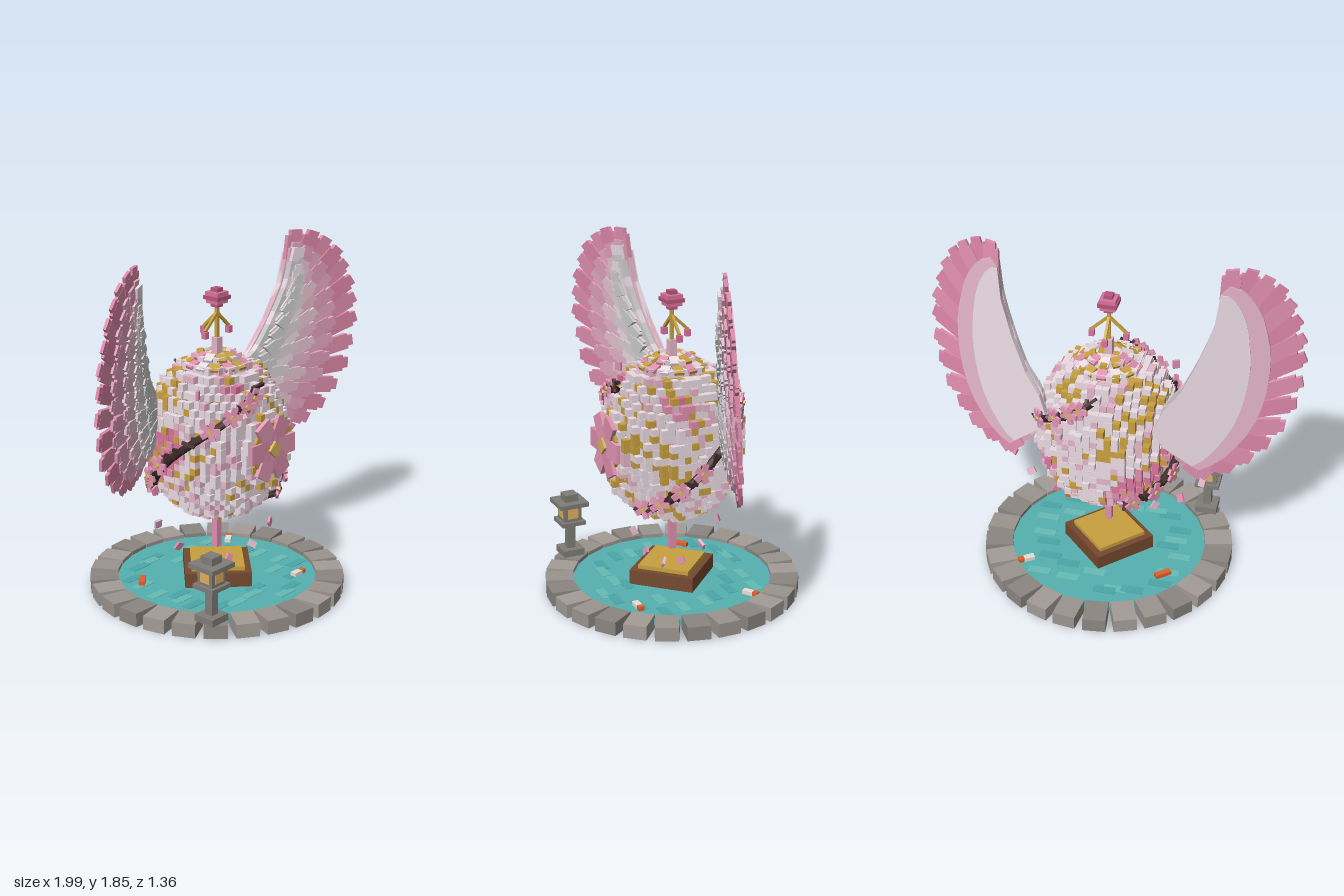
import * as THREE from 'three';
import { mergeGeometries } from 'three/addons/utils/BufferGeometryUtils.js';

const PINK = 0xe08fae, ROSE = 0xd9749b, BLUSH = 0xe3b6c8, PALE = 0xeadbe2, GOLD = 0xc9a040;
const BARK = 0x3b2826, STONES = [0x9a948e, 0x8b8681, 0xa39c96], GREY = 0x807d79;

let seed = 7;
const rnd = () => (seed = (seed * 16807) % 2147483647) / 2147483647;
const V = (x, y, z = 0) => new THREE.Vector3(x, y, z);

// Collects geometry by colour and merges it into one mesh per colour
class Part {
  constructor(name) { this.name = name; this.sets = new Map(); }
  add(color, geo, matrix) {
    const g = geo.index ? geo.toNonIndexed() : geo;
    if (matrix) g.applyMatrix4(matrix);
    if (!this.sets.has(color)) this.sets.set(color, []);
    this.sets.get(color).push(g);
  }
  box(color, size, pos, rot = [0, 0, 0], parent) {
    const m = new THREE.Matrix4().makeRotationFromEuler(new THREE.Euler(...rot)).setPosition(...pos);
    if (parent) m.premultiply(parent);
    this.add(color, new THREE.BoxGeometry(...size), m);
  }
  build() {
    const group = new THREE.Group();
    group.name = this.name;
    for (const [color, list] of this.sets) {
      const mesh = new THREE.Mesh(mergeGeometries(list), new THREE.MeshStandardMaterial({ color }));
      mesh.name = this.name + 'Piece';
      group.add(mesh);
    }
    return group;
  }
}

function pond() {
  const p = new Part('pond');
  p.add(0x55b0b0, new THREE.CylinderGeometry(0.545, 0.545, 0.035, 48), new THREE.Matrix4().makeTranslation(0, 0.037, 0));
  // ripple patches
  for (let i = 0; i < 26; i++) {
    const a = i * 2.4, r = 0.27 + 0.2 * rnd();
    p.box(i % 2 ? 0x66bcb4 : 0x4ba6a8, [0.12, 0.003, 0.05], [r * Math.sin(a), 0.0555, r * Math.cos(a)]);
  }
  // rim stones
  for (let i = 0; i < 26; i++) {
    const a = i / 26 * Math.PI * 2;
    p.box(STONES[i % 3], [0.15, 0.075, 0.122], [0.605 * Math.cos(a), 0.0375, -0.605 * Math.sin(a)], [0, a, 0]);
  }
  // fish
  [[-0.35, -0.22, 0.7, 0xe2602c], [0.4, -0.27, 0.6, 0xe6e0da], [0.29, 0.33, 0, 0xe6e0da]].forEach(([x, z, a, c]) => {
    const m = new THREE.Matrix4().makeRotationY(a).setPosition(x, 0.065, z);
    p.box(c, [0.06, 0.022, 0.034], [-0.015, 0, 0], undefined, m);
    p.box(0xe2602c, [0.03, 0.024, 0.03], [0.028, 0, 0], undefined, m);
  });
  return p.build();
}

function pedestal() {
  const p = new Part('pedestal');
  p.add(0x75492f, new THREE.CylinderGeometry(0.25, 0.25, 0.1, 4).toNonIndexed(), new THREE.Matrix4().makeTranslation(0, 0.083, 0));
  p.add(GOLD, new THREE.CylinderGeometry(0.2, 0.2, 0.022, 4).toNonIndexed(), new THREE.Matrix4().makeTranslation(0, 0.144, 0));
  for (const list of p.sets.values()) list.forEach(g => g.computeVertexNormals());
  return p.build();
}

function lantern() {
  const p = new Part('lantern');
  // [width, bottom, top]
  [[0.12, 0.075, 0.112], [0.045, 0.112, 0.26], [0.135, 0.255, 0.278], [0.165, 0.365, 0.39], [0.075, 0.39, 0.43]]
    .forEach(([w, a, b]) => p.box(GREY, [w, b - a, w], [0, (a + b) / 2, 0]));
  p.box(GREY, [0.1, 0.1, 0.1], [0, 0.322, 0]);
  p.box(0xe0b060, [0.06, 0.06, 0.106], [0, 0.325, 0]);
  p.box(0xe0b060, [0.106, 0.06, 0.06], [0, 0.325, 0]);
  const g = p.build();
  g.position.set(-0.48, 0, 0.395);
  return g;
}

// Egg of small blocks in blotches of colour
const eggRadius = y => 0.366 * Math.sqrt(Math.max(0, 1 - ((y - 0.84) / (y < 0.84 ? 0.43 : 0.46)) ** 2));
function egg() {
  const p = new Part('egg'), c = 0.0365;
  const inside = (i, j, k) => Math.hypot(i * c, k * c) <= eggRadius(0.84 + j * c);
  const near = [[1, 0, 0], [-1, 0, 0], [0, 1, 0], [0, -1, 0], [0, 0, 1], [0, 0, -1]];
  for (let j = -12; j <= 13; j++) for (let i = -11; i <= 11; i++) for (let k = -11; k <= 11; k++) {
    if (!inside(i, j, k) || near.every(n => inside(i + n[0], j + n[1], k + n[2]))) continue;
    const x = i * c, y = 0.84 + j * c, z = k * c;
    const blotch = Math.sin(9 * x + 4 * z + 1) * Math.sin(8 * y + 5 * x) + Math.sin(11 * z - 7 * y + 2) * 0.6;
    const r = rnd();
    let color = r < 0.1 ? GOLD : r < 0.3 ? BLUSH : PALE;
    if (blotch > 0.75 && r > 0.2) color = r > 0.6 ? ROSE : PINK;
    else if (blotch < -0.85 && r < 0.45) color = GOLD;
    const out = 1 + (rnd() < 0.12 ? 0.05 : 0.012 * rnd());
    p.box(color, [c * 0.98, c * 0.98, c * 0.98], [x * out, y, z * out]);
  }
  return p.build();
}

// Five or six flat petals around a gold middle, facing local +z
function blossom(p, matrix, n, reach, width, depth) {
  for (let i = 0; i < n; i++) {
    const a = i / n * Math.PI * 2, mid = reach * 0.6;
    p.box(i % 2 ? PINK : 0xe59ab6, [reach * 0.8, width, depth], [mid * Math.cos(a), mid * Math.sin(a), 0], [0, 0, a], matrix);
  }
  const s = reach * 0.38;
  p.box(0xd9b65c, [s, s, depth * 1.2], [0, 0, depth * 0.5], [0, 0, Math.PI / 4], matrix);
}

function frontFlower() {
  const p = new Part('frontFlower');
  blossom(p, new THREE.Matrix4().makeTranslation(0, 0.86, 0.38), 6, 0.168, 0.1, 0.022);
  for (let i = 0; i < 6; i++) {
    const a = (i + 0.5) / 6 * Math.PI * 2;
    p.box(GOLD, [0.045, 0.035, 0.016], [0.115 * Math.cos(a), 0.86 + 0.115 * Math.sin(a), 0.37], [0, 0, a]);
  }
  return p.build();
}

// Flowering branch climbing half way round the egg
function vine(turn) {
  const p = new Part('vine');
  const curve = new THREE.CatmullRomCurve3([V(0.14, 0.52, 0.24), V(0.27, 0.59, 0.2), V(0.36, 0.69, 0.1),
    V(0.39, 0.81, -0.02), V(0.345, 0.93, -0.16), V(0.22, 1.03, -0.265), V(0.1, 1.1, -0.295), V(0.02, 1.17, -0.285)]);
  p.add(BARK, new THREE.TubeGeometry(curve, 40, 0.022, 6));
  for (let i = 0; i <= 22; i++) {
    const q = curve.getPoint(i / 22), a = Math.atan2(q.x, q.z);
    p.box(i % 3 ? BARK : 0x55383a, [0.016, 0.07, 0.016], [q.x + 0.015 * Math.sin(a), q.y + 0.01, q.z + 0.015 * Math.cos(a)],
      [rnd() * 2 - 1, a, rnd() * 3 - 1.5]);
  }
  [0.04, 0.15, 0.26, 0.38, 0.64, 0.74, 0.83, 0.9].forEach(t => {
    const q = curve.getPoint(t), a = Math.atan2(q.x, q.z);
    const m = new THREE.Matrix4().makeRotationY(a).setPosition(q.x + 0.03 * Math.sin(a), q.y + 0.015, q.z + 0.03 * Math.cos(a));
    blossom(p, m, 5, 0.052, 0.03, 0.014);
  });
  const g = p.build();
  g.rotation.y = turn;
  return g;
}

function finial() {
  const p = new Part('finial');
  p.box(PINK, [0.036, 0.23, 0.036], [0, 0.335, 0]);
  p.box(BLUSH, [0.04, 0.1, 0.04], [0, 1.33, 0]);
  p.box(GOLD, [0.018, 0.19, 0.018], [0, 1.46, 0]);
  // collar of tiles on the crown
  [[0.15, 1.255, 14], [0.095, 1.29, 10]].forEach(([r, y, n]) => {
    for (let i = 0; i < n; i++) {
      const a = i / n * Math.PI * 2, m = new THREE.Matrix4().makeRotationY(a);
      p.box([GOLD, PINK, PALE][i % 3], [0.05, 0.016, 0.06], [0, y, r], [0.4, 0, 0], m);
    }
  });
  // arms with hanging buds
  [Math.PI / 2, -Math.PI / 2, Math.PI].forEach(a => {
    const m = new THREE.Matrix4().makeRotationY(a);
    p.box(GOLD, [0.014, 0.014, 0.12], [0, 1.465, 0.047], [0.75, 0, 0], m);
    p.box(ROSE, [0.028, 0.036, 0.028], [0, 1.405, 0.09], undefined, m);
  });
  // top bud
  [0.045, 0.08, 0.1, 0.085, 0.045].forEach((w, i) => p.box(i % 2 ? ROSE : 0xb8557c, [w, 0.02, w], [0, 1.55 + i * 0.02, 0]));
  return p.build();
}

// Wing: layered feathers fanned between an inner edge and an outer contour
function wing(s) {
  const p = new Part(s > 0 ? 'leftWing' : 'rightWing');
  const tips = new THREE.CatmullRomCurve3([V(0.61, 1.85), V(0.72, 1.83), V(0.81, 1.77), V(0.88, 1.69), V(0.93, 1.58), V(0.97, 1.46),
    V(0.985, 1.33), V(0.98, 1.17), V(0.95, 1.02), V(0.88, 0.88), V(0.79, 0.78), V(0.69, 0.71), V(0.56, 0.68)]);
  const roots = new THREE.CatmullRomCurve3([V(0.6, 1.56), V(0.53, 1.38), V(0.46, 1.22), V(0.4, 1.1), V(0.35, 1.02), V(0.34, 0.95), V(0.37, 0.87)]);
  // lean of the wing: forward towards the tip and the top
  const lean = new THREE.Matrix4().set(1, 0, 0, 0, 0, 1, 0, 0, 0.43 * s, 0.08, 1, -0.17 - 0.43 * 0.3 - 0.08 * 1.2, 0, 0, 0, 1);
  const at = (t, f) => roots.getPoint(t).lerp(tips.getPoint(t), f);
  const sheet = (color, f, z, depth) => {
    const pts = [[0.565, 1.73], [0.545, 1.56], [0.48, 1.37], [0.4, 1.2], [0.32, 1.1], [0.28, 1.0], [0.33, 0.9]].map(a => new THREE.Vector2(s * a[0], a[1]));
    for (let i = 16; i >= 0; i--) { const q = at(i / 16, f); pts.push(new THREE.Vector2(s * q.x, q.y)); }
    p.add(color, new THREE.ExtrudeGeometry(new THREE.Shape(pts), { depth, bevelEnabled: false }), lean.clone().multiply(new THREE.Matrix4().makeTranslation(0, 0, z)));
  };
  sheet(BLUSH, 0.72, -0.022, 0.03);
  sheet(PALE, 0.55, -0.027, 0.03);
  // [reach, colours, feather width, height above the sheet]
  [[1, [PINK, 0xdc86a7], 0.092, 0], [0.77, [0xe3a9bf, 0xdf9fb8], 0.08, 0.016], [0.56, [BLUSH, 0xe6c3d0], 0.07, 0.03], [0.36, [PALE, 0xd8d0d4], 0.06, 0.043],
    [0.17, [0xbdbcbc, 0xcccccc], 0.055, 0.055]].forEach(([reach, colors, w, z], layer) => {
    const n = 15 + (layer % 2);
    for (let i = 0; i < n; i++) {
      const t = i / (n - 1), a = at(t, Math.max(0, reach - 0.55)), b = at(t, reach);
      const dx = s * (b.x - a.x), dy = b.y - a.y, len = Math.hypot(dx, dy), ang = Math.atan2(dy, dx);
      const m = lean.clone().multiply(new THREE.Matrix4().makeRotationZ(ang).setPosition(s * a.x, a.y, z + (i % 2) * 0.006));
      p.box(colors[i % 2], [len - 0.03, w, 0.022], [(len - 0.03) / 2, 0, 0], undefined, m);
      p.box(colors[i % 2], [0.035, w * 0.66, 0.02], [len - 0.0175, 0, 0], undefined, m);
    }
  });
  // stepped grey leading edge
  const edge = new THREE.CatmullRomCurve3([V(0.6, 1.72), V(0.575, 1.56), V(0.51, 1.37), V(0.43, 1.2), V(0.35, 1.1), V(0.32, 1.0)]);
  for (let i = 0; i < 16; i++) {
    const q = edge.getPoint(i / 15), d = edge.getTangent(i / 15);
    p.box(i % 3 ? 0xcccccc : PALE, [0.075, 0.06, 0.03], [s * q.x, q.y, 0.03], [0, 0, Math.atan2(d.y, s * d.x)], lean);
  }
  return p.build();
}

function loosePetals() {
  const p = new Part('loosePetals');
  [[-0.32, 1.17, 0.16], [-0.5, 0.51, 0.05], [-0.38, 0.36, 0.08], [-0.23, 0.25, 0.12], [-0.05, 0.2, 0.13], [0.15, 0.215, 0.12],
    [0.32, 0.29, 0.1], [0.45, 0.42, 0.05], [0.53, 0.585, 0], [0.38, 0.7, 0.1], [-0.53, 0.7, 0.06]]
    .forEach((q, i) => p.box(i % 2 ? BLUSH : PINK, [0.036, 0.046, 0.014], q, [0.4 * Math.sin(i), 0.5 * Math.cos(i * 2), 1.3 * Math.sin(i * 3)]));
  return p.build();
}

export function createModel() {
  const model = new THREE.Group();
  model.name = 'wingedEggFountain';
  model.add(pond(), pedestal(), lantern(), egg(), frontFlower(), vine(0), vine(Math.PI), finial(), wing(1), wing(-1), loosePetals());
  return model;
}
